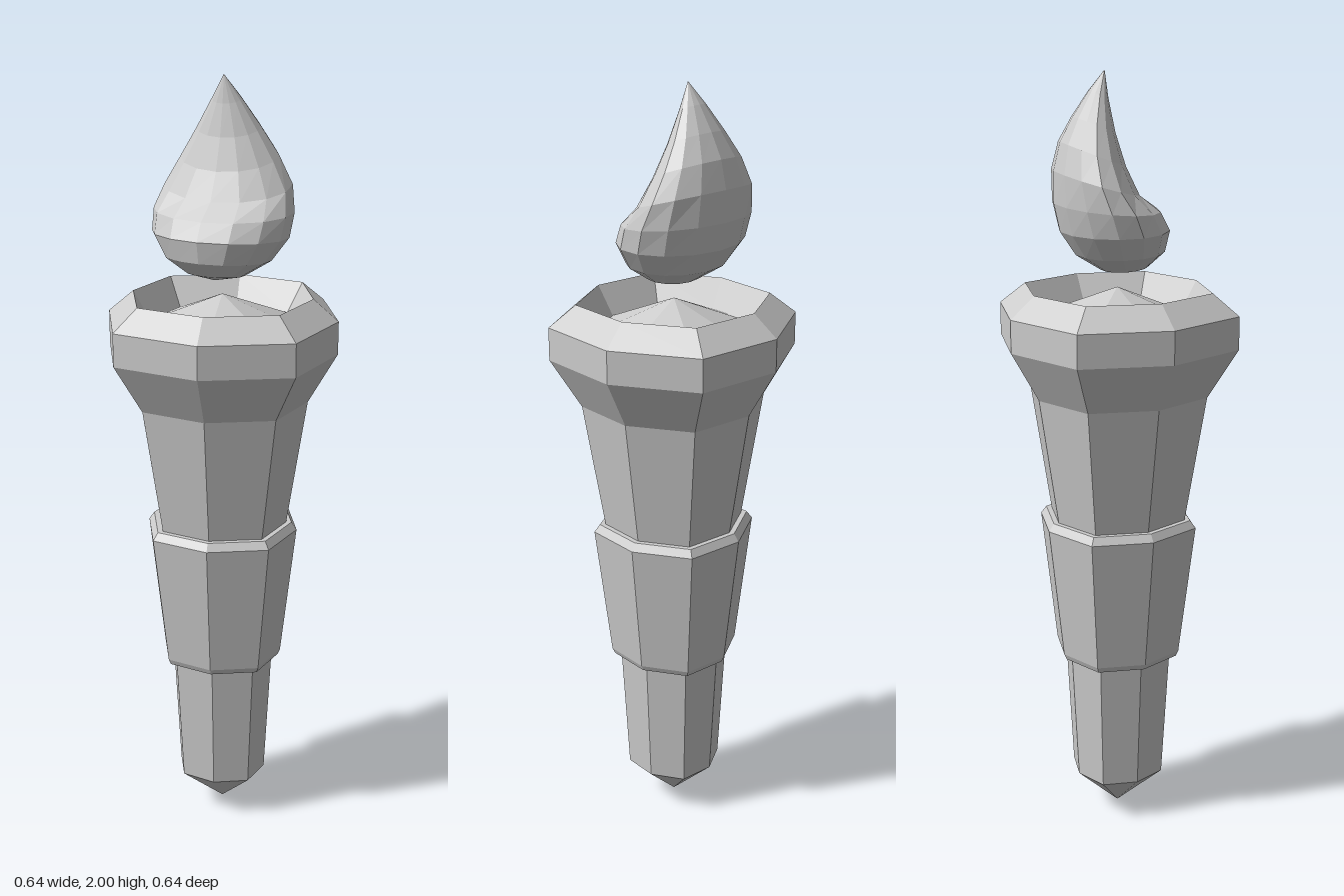
import * as THREE from 'three';

const stone = new THREE.MeshStandardMaterial({ color: 0xcccccc, flatShading: true });
stone.name = 'pale grey';

// Eight-sided turned section, its diagonal corners pulled in slightly
function octagonSection(name, profile) {
  const points = profile.map(([r, y]) => new THREE.Vector2(r, y));
  const geometry = new THREE.LatheGeometry(points, 8);
  const pos = geometry.attributes.position;
  for (let i = 0; i < pos.count; i++) {
    const x = pos.getX(i), z = pos.getZ(i);
    if (Math.abs(x) > 1e-4 && Math.abs(z) > 1e-4) {
      pos.setX(i, x * 0.93);
      pos.setZ(i, z * 0.93);
    }
  }
  geometry.computeVertexNormals();
  const mesh = new THREE.Mesh(geometry, stone);
  mesh.name = name;
  return mesh;
}

// Curled flame: tilted oval rings, each given by its inner edge, outer edge and half depth
function flame() {
  const rings = [
    [-0.02, 1.5, -0.02, 1.5, 0],
    [-0.075, 1.52, 0.045, 1.51, 0.075],
    [-0.115, 1.56, 0.11, 1.55, 0.14],
    [-0.125, 1.615, 0.15, 1.61, 0.18],
    [-0.1, 1.66, 0.165, 1.68, 0.185],
    [-0.045, 1.7, 0.165, 1.76, 0.17],
    [-0.012, 1.77, 0.148, 1.83, 0.13],
    [0.012, 1.85, 0.115, 1.89, 0.085],
    [0.027, 1.93, 0.075, 1.95, 0.04],
    [0.035, 2, 0.035, 2, 0],
  ];
  const sides = 14, turn = THREE.MathUtils.degToRad(32);
  const c = Math.cos(turn), d = Math.sin(turn);
  const positions = [], index = [];
  rings.forEach(([s0, y0, s1, y1, depth], i) => {
    for (let j = 0; j < sides; j++) {
      const a = (j / sides) * Math.PI * 2;
      const k = (1 + Math.cos(a)) / 2;
      const s = s0 + (s1 - s0) * k;
      const p = depth * Math.sin(a) - 0.012;
      positions.push(s * c + p * d, y0 + (y1 - y0) * k, p * c - s * d);
      if (i === rings.length - 1) continue;
      const n = (j + 1) % sides;
      const lo = i * sides, hi = lo + sides;
      if (i > 0) index.push(lo + j, hi + j, lo + n);
      if (i < rings.length - 2) index.push(lo + n, hi + j, hi + n);
    }
  });
  // The bottom fan keeps only its upper triangles, the tip fan only its lower ones
  const geometry = new THREE.BufferGeometry();
  geometry.setAttribute('position', new THREE.Float32BufferAttribute(positions, 3));
  geometry.setIndex(index);
  geometry.computeVertexNormals();
  const mesh = new THREE.Mesh(geometry, stone);
  mesh.name = 'flame';
  return mesh;
}

export function createModel() {
  const group = new THREE.Group();
  group.name = 'torch';
  group.add(
    // Pointed lower end of the handle
    octagonSection('lowerHandle', [[0, 0.005], [0.127, 0.115], [0.147, 0.47]]),
    // Wider collar in the middle
    octagonSection('grip', [[0.14, 0.46], [0.165, 0.465], [0.172, 0.48], [0.215, 0.835], [0.2, 0.855], [0.18, 0.855]]),
    // Flaring head with a hollow rim and a low cone inside
    octagonSection('head', [
      [0.184, 0.85], [0.24, 1.19], [0.32, 1.32], [0.32, 1.405],
      [0.25, 1.46], [0.203, 1.385], [0, 1.463],
    ]),
    flame(),
  );
  return group;
}
